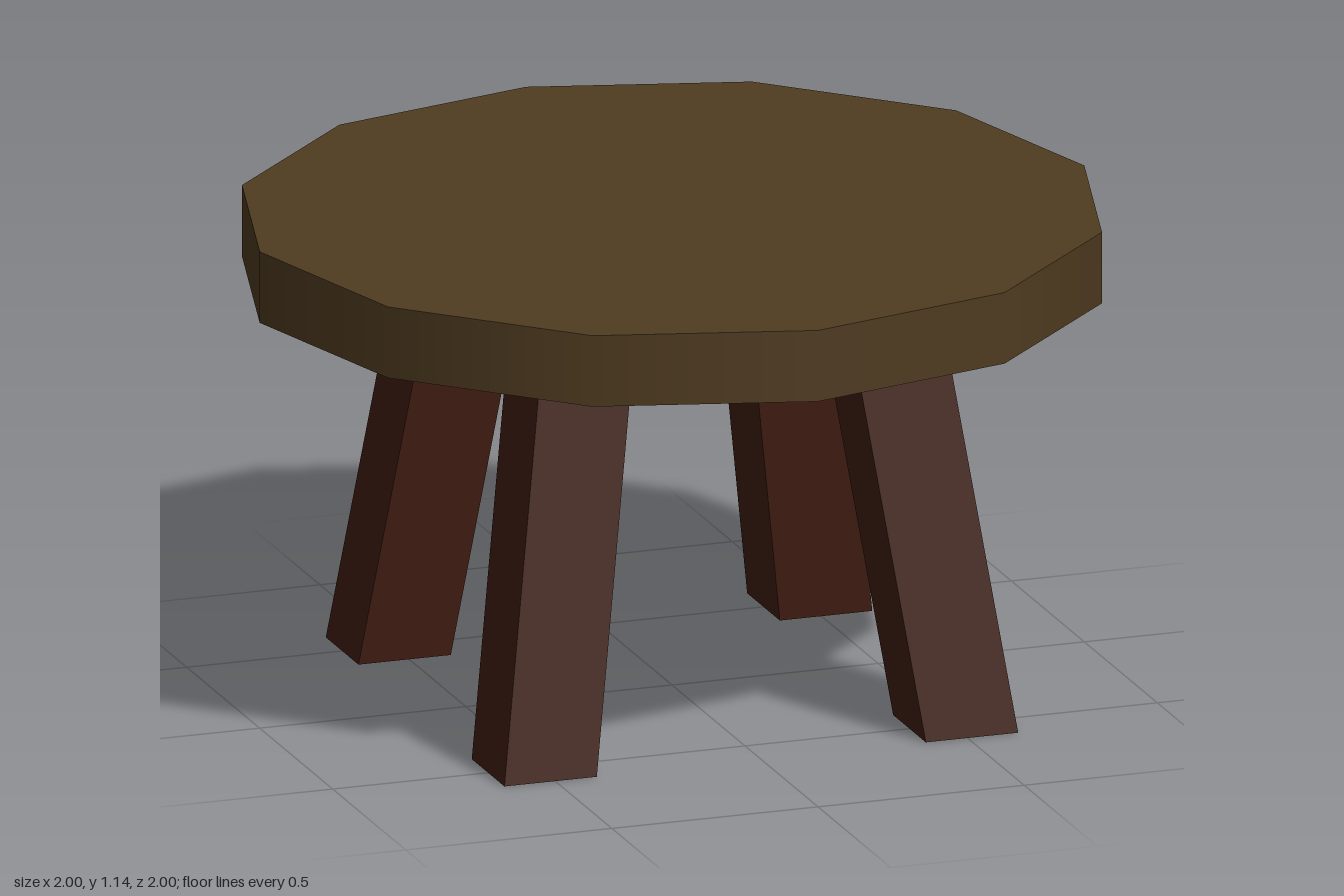
import * as THREE from 'three';

const SEAT_BOTTOM = 0.97, SEAT_TOP = 1.14, LEG_WIDTH = 0.224;

// Square leg with level ends, sheared so it splays outward towards the floor
function legGeometry(sx, sz) {
  const geometry = new THREE.BoxGeometry(LEG_WIDTH, SEAT_BOTTOM, LEG_WIDTH);
  geometry.translate(0, SEAT_BOTTOM / 2, 0);
  const p = geometry.attributes.position;
  for (let i = 0; i < p.count; i++) {
    const t = p.getY(i) / SEAT_BOTTOM;
    p.setX(i, p.getX(i) + sx * THREE.MathUtils.lerp(0.511, 0.373, t));
    p.setZ(i, p.getZ(i) + sz * THREE.MathUtils.lerp(0.5, 0.366, t));
  }
  geometry.computeVertexNormals();
  return geometry;
}

export function createModel() {
  const model = new THREE.Group();
  model.name = 'stool';
  const seatWood = new THREE.MeshStandardMaterial({ color: 0x4f3b20 });
  const legWood = new THREE.MeshStandardMaterial({ color: 0x421f13 });

  // Twelve-sided seat with softly shaded rim
  const seat = new THREE.Mesh(
    new THREE.CylinderGeometry(1, 1, SEAT_TOP - SEAT_BOTTOM, 12), seatWood);
  seat.name = 'seat';
  seat.position.y = (SEAT_TOP + SEAT_BOTTOM) / 2;
  model.add(seat);

  // Four mirrored legs
  for (const sx of [1, -1]) {
    for (const sz of [1, -1]) {
      const leg = new THREE.Mesh(legGeometry(sx, sz), legWood);
      leg.name = (sz > 0 ? 'front' : 'back') + (sx > 0 ? 'Left' : 'Right') + 'Leg';
      model.add(leg);
    }
  }
  return model;
}
